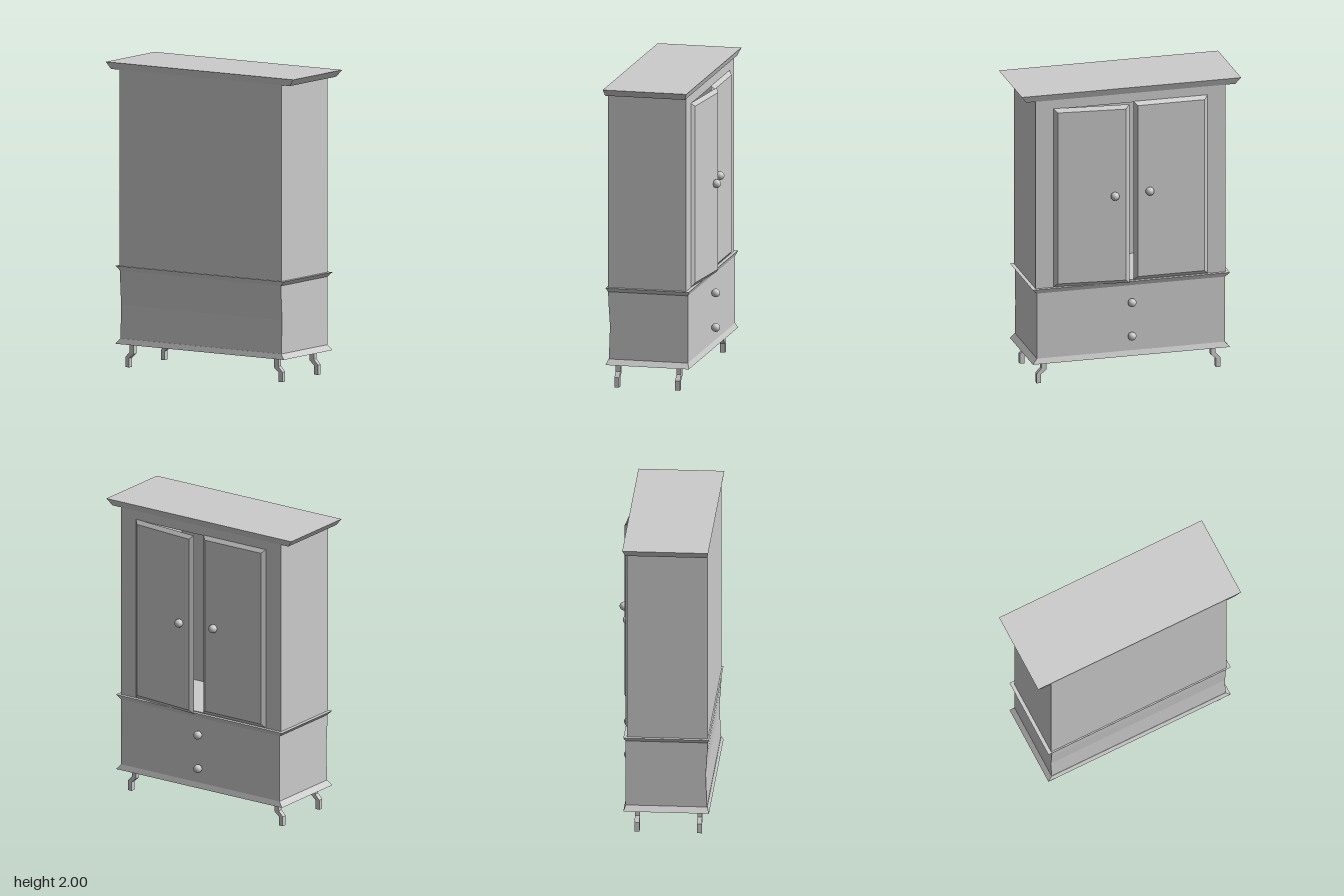
import * as THREE from 'three';

const grey = new THREE.MeshStandardMaterial({ color: 0xcccccc });

function add(parent, name, geometry, x = 0, y = 0, z = 0) {
  const mesh = new THREE.Mesh(geometry, grey);
  mesh.name = name;
  mesh.position.set(x, y, z);
  parent.add(mesh);
  return mesh;
}

// Box whose two ends along an axis are different rectangles:
// each end is { at, a: [min, max], b: [min, max] } on the other two axes
function taper(axis, low, high) {
  const geo = new THREE.BoxGeometry(1, 1, 1);
  const p = geo.attributes.position;
  const [k, ka, kb] = axis === 'y' ? [1, 0, 2] : [2, 0, 1];
  for (let i = 0; i < p.count; i++) {
    const end = p.getComponent(i, k) < 0 ? low : high;
    const a = end.a[p.getComponent(i, ka) < 0 ? 0 : 1];
    const b = end.b[p.getComponent(i, kb) < 0 ? 0 : 1];
    p.setComponent(i, ka, a);
    p.setComponent(i, kb, b);
    p.setComponent(i, k, end.at);
  }
  geo.computeVertexNormals();
  return geo;
}

const ring = (at, halfX, zMin, zMax) => ({ at, a: [-halfX, halfX], b: [zMin, zMax] });

function polygon(points) {
  return new THREE.Shape(points.map(([x, y]) => new THREE.Vector2(x, y)));
}

function rectangle(x0, x1, y0, y1) {
  return polygon([[x0, y0], [x1, y0], [x1, y1], [x0, y1]]);
}

function extrude(shape, depth) {
  return new THREE.ExtrudeGeometry(shape, { depth, bevelEnabled: false });
}

export function createModel() {
  const model = new THREE.Group();
  model.name = 'wardrobe';

  // Hollow upper cabinet, open toward the doors
  const frame = rectangle(-0.64, 0.64, 0.65, 1.96);
  frame.holes.push(rectangle(-0.515, 0.515, 0.672, 1.89));
  add(model, 'upperCabinet', extrude(frame, 0.505), 0, 0, -0.215);
  add(model, 'backPanel', new THREE.BoxGeometry(1.28, 1.31, 0.02), 0, 1.305, 0.3);

  // Crown and the mouldings around the drawer section
  add(model, 'crown', taper('y', ring(1.955, 0.705, -0.222, 0.312), ring(2, 0.74, -0.24, 0.32)));
  add(model, 'waistMoulding', taper('y', ring(0.637, 0.635, -0.225, 0.31), ring(0.667, 0.665, -0.238, 0.32)));
  add(model, 'baseMoulding', taper('y', ring(0.155, 0.665, -0.238, 0.32), ring(0.19, 0.635, -0.225, 0.307)));

  // Drawer section, its rear slightly hollowed; profile drawn as (-z, y)
  const side = polygon([[-0.305, 0.18], [0.225, 0.18], [0.225, 0.645], [-0.31, 0.645], [-0.307, 0.56], [-0.297, 0.41]]);
  add(model, 'drawerSection', extrude(side, 1.27), -0.635).rotation.y = Math.PI / 2;

  // Two bevelled doors, one standing ajar
  const knob = new THREE.SphereGeometry(0.028, 24, 16);
  const doorHeights = [0.67, 1.895];
  for (const s of [1, -1]) {
    const door = new THREE.Group();
    door.name = s > 0 ? 'leftDoor' : 'rightDoor';
    door.position.set(s * 0.52, 0, -0.216);
    const span = s > 0 ? [-0.5, 0] : [0, 0.5];
    const inset = ([lo, hi]) => [lo + 0.025, hi - 0.025];
    add(door, 'doorPanel', taper('z',
      { at: -0.02, a: inset(span), b: inset(doorHeights) },
      { at: 0, a: span, b: doorHeights }));
    add(door, 'doorKnob', knob, -s * 0.4, 1.28, -0.036);
    if (s > 0) door.rotation.y = -0.097;
    model.add(door);
  }

  // Drawer knobs
  for (const y of [0.295, 0.525]) add(model, 'drawerKnob', knob, 0, y, -0.253);

  // Cranked legs with small mounting plates
  for (const s of [1, -1]) {
    const leg = polygon([
      [0.555, 0.157], [0.588, 0.157], [0.588, 0.1], [0.62, 0.065],
      [0.62, 0], [0.59, 0], [0.59, 0.06], [0.555, 0.09],
    ].map(([x, y]) => [s * x, y]));
    for (const z of [0.255, -0.152]) {
      add(model, 'leg', extrude(leg, 0.032), 0, 0, z - 0.016);
      add(model, 'legPlate', new THREE.BoxGeometry(0.07, 0.004, 0.07), s * 0.565, 0.154, z);
    }
  }

  return model;
}
